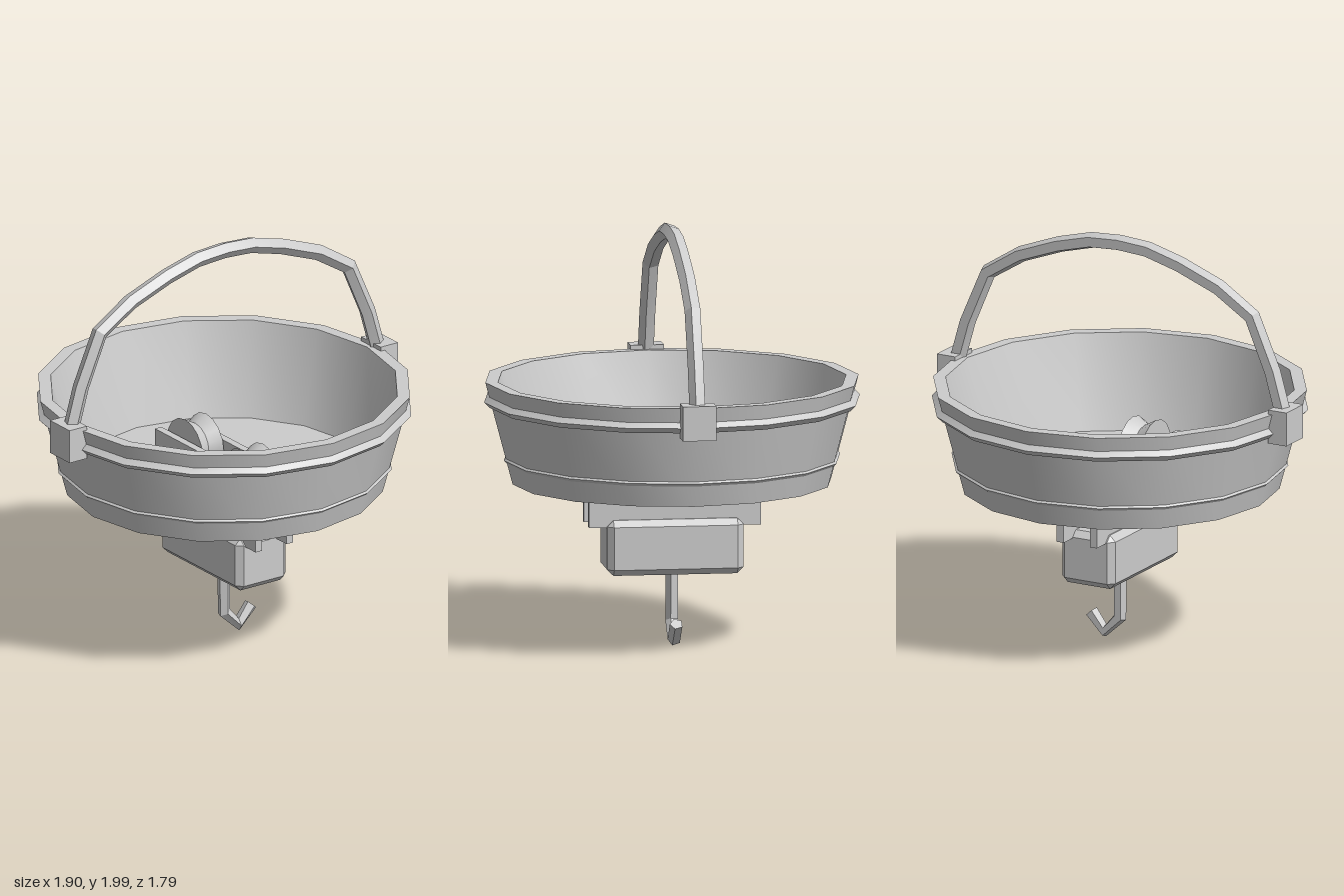
import * as THREE from 'three';
import { toCreasedNormals } from 'three/addons/utils/BufferGeometryUtils.js';
import { ConvexGeometry } from 'three/addons/geometries/ConvexGeometry.js';

const grey = new THREE.MeshStandardMaterial({ color: 0xcccccc });
grey.name = 'grey';

export function createModel() {
  const model = new THREE.Group();
  model.name = 'hookedBasket';

  const add = (name, geometry, x = 0, y = 0, z = 0) => {
    const mesh = new THREE.Mesh(geometry, grey);
    mesh.name = name;
    mesh.position.set(x, y, z);
    model.add(mesh);
    return mesh;
  };
  const lathe = (points, sides) =>
    toCreasedNormals(new THREE.LatheGeometry(points.map(p => new THREE.Vector2(...p)), sides), 0.45);

  // Five-sided rod with one ring at each given point
  const rod = (points, radius) => {
    const curve = new THREE.CatmullRomCurve3(points.map(([x, y]) => new THREE.Vector3(x, y, 0)));
    curve.getPointAt = curve.getPoint;
    curve.getTangentAt = curve.getTangent;
    return toCreasedNormals(new THREE.TubeGeometry(curve, points.length - 1, radius, 5), 0.3);
  };

  // Box with every edge and corner cut off
  const chamferedBox = (w, h, d, c) => {
    const half = [w / 2, h / 2, d / 2];
    const points = [];
    for (const sx of [-1, 1]) for (const sy of [-1, 1]) for (const sz of [-1, 1]) {
      for (let axis = 0; axis < 3; axis++) {
        const [x, y, z] = half.map((v, i) => (i === axis ? v : v - c));
        points.push(new THREE.Vector3(sx * x, sy * y, sz * z));
      }
    }
    return new ConvexGeometry(points);
  };

  // Flared bowl with a thick wall and floor
  add('bowl', lathe([[0, 0.78], [0.76, 0.78], [0.89, 1.27], [0.83, 1.27], [0.71, 0.82], [0, 0.82]], 16));

  // Raised hoops around the bowl
  for (const [name, radius, thickness, y] of [['upperHoop', 0.87, 0.026, 1.175], ['lowerHoop', 0.788, 0.014, 0.895]]) {
    const hoop = new THREE.TorusGeometry(radius, thickness, 4, 16).rotateX(Math.PI / 2);
    add(name, toCreasedNormals(hoop, 0.45), 0, y, 0);
  }

  // Carrying handle and its two mounts
  const side = [[0.9, 1.21], [0.83, 1.455], [0.72, 1.71], [0.54, 1.825], [0.33, 1.905], [0.155, 1.952]];
  const arch = [...side.map(([x, y]) => [-x, y]), [0, 1.962], ...side.slice().reverse()];
  add('handle', rod(arch, 0.04));
  for (const s of [-1, 1]) {
    add(s > 0 ? 'leftMount' : 'rightMount', new THREE.BoxGeometry(0.1, 0.165, 0.16), s * 0.902, 1.208, 0);
  }

  // Pulley cheek plates and grooved wheels
  const wheel = lathe([[0, -0.062], [0.145, -0.062], [0.127, -0.03], [0.11, 0], [0.127, 0.03], [0.145, 0.062], [0, 0.062]], 16);
  wheel.rotateZ(Math.PI / 2);
  for (const s of [-1, 1]) {
    add(s > 0 ? 'leftCheekPlate' : 'rightCheekPlate', new THREE.BoxGeometry(0.038, 0.36, 0.82), s * 0.09, 0.76, 0);
    add(s > 0 ? 'frontPulley' : 'backPulley', wheel, 0, 0.89, s * 0.232);
  }

  // Weight block and hook
  add('block', chamferedBox(0.29, 0.265, 0.65, 0.03), 0, 0.4825, 0);
  add('hook', rod([[0, 0.4], [0, 0.115], [0.08, 0.036], [0.155, 0.12]], 0.032));
  // Cap closing the hook tip
  const cap = new THREE.CircleGeometry(0.032, 5, Math.PI / 2).rotateX(-Math.PI / 2);
  cap.rotateY(-Math.PI).rotateZ(-0.73);
  const tip = add('hookTip', cap, 0.155, 0.12, 0);
  tip.rotation.set(0, 0, 0);

  return model;
}
